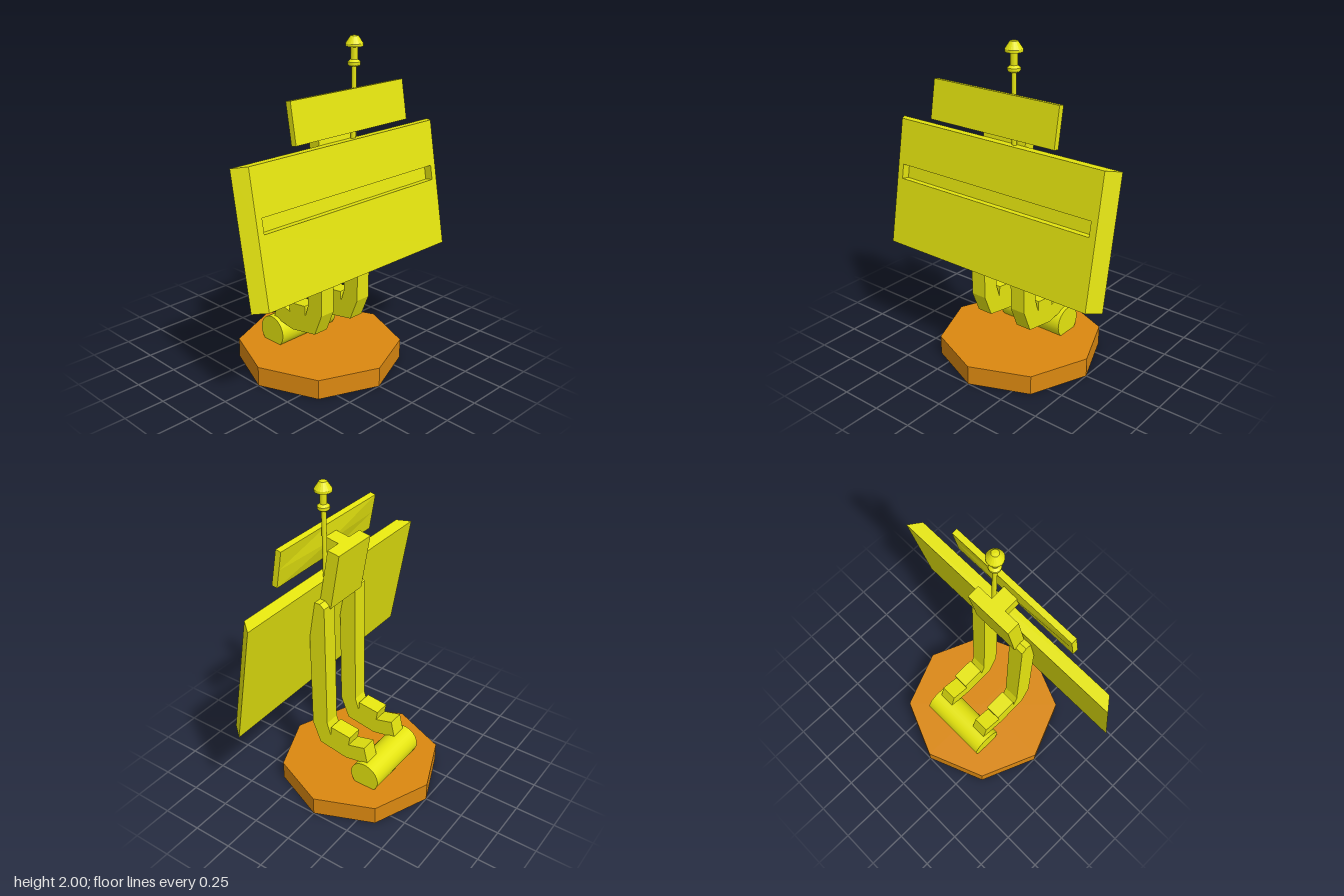
import * as THREE from 'three';

const yellow = new THREE.MeshStandardMaterial({ color: 0xe6e60f, flatShading: true });
const smoothYellow = new THREE.MeshStandardMaterial({ color: 0xe6e60f });
const orange = new THREE.MeshStandardMaterial({ color: 0xdb8810, flatShading: true });
const TILT = -0.178; // backward lean shared by the panels and head

function extrude(points, depth) {
  const shape = new THREE.Shape(points.map(([x, y]) => new THREE.Vector2(x, y)));
  return new THREE.ExtrudeGeometry(shape, { depth, bevelEnabled: false });
}

export function createModel() {
  const model = new THREE.Group();
  model.name = 'signStand';

  function add(name, geometry, material, x = 0, y = 0, z = 0, tilt = 0, parent = model) {
    const mesh = new THREE.Mesh(geometry, material);
    mesh.name = name;
    mesh.position.set(x, y, z);
    mesh.rotation.x = tilt;
    parent.add(mesh);
    return mesh;
  }

  // Octagonal base and the roller lying on it
  add('base', new THREE.CylinderGeometry(0.5, 0.5, 0.12, 8), orange, 0, 0.06, 0);
  const roller = new THREE.CylinderGeometry(0.098, 0.098, 0.452, 32);
  roller.rotateZ(Math.PI / 2);
  add('roller', roller, smoothYellow, 0, 0.188, -0.185);

  // Two bent legs with stepped feet, drawn as (z, y) side profiles
  const legProfile = [
    [0.175, 1.3], [0.22, 1.05], [0.22, 0.42], [0.165, 0.285], [-0.03, 0.25],
    [-0.19, 0.28], [-0.165, 0.39], [-0.05, 0.36], [-0.06, 0.42], [0.08, 0.438],
    [0.085, 0.375], [0.11, 0.455], [0.11, 1.275], [0.14, 1.3],
  ];
  for (const side of [-1, 1]) {
    const leg = extrude(legProfile, 0.1);
    leg.translate(0, 0, -0.05);
    leg.rotateY(-Math.PI / 2);
    add(side > 0 ? 'leftLeg' : 'rightLeg', leg, yellow, side * 0.15);
  }

  // Main panel: bevelled ends, with a slot recessed into the front
  const panel = new THREE.Group();
  panel.name = 'mainPanel';
  panel.position.set(0, 0.672, 0.366);
  panel.rotation.x = TILT;
  model.add(panel);
  const plain = [[-0.72, 0], [0.72, 0], [0.78, 0.076], [-0.78, 0.076]];
  const slotted = [
    [-0.72, 0], [-0.68, 0], [-0.68, 0.05], [0.68, 0.05],
    [0.68, 0], [0.72, 0], [0.78, 0.076], [-0.78, 0.076],
  ];
  const bands = [
    ['panelLower', plain, 0, 0.41],
    ['panelSlotBand', slotted, 0.41, 0.498],
    ['panelUpper', plain, 0.498, 0.772],
  ];
  for (const [name, section, from, to] of bands) {
    const band = extrude(section, to - from);
    band.rotateX(-Math.PI / 2);
    add(name, band, yellow, 0, from, 0, 0, panel);
  }

  // Head plate and the stem reaching forward to the small panel
  add('headPlate', new THREE.BoxGeometry(0.3, 0.36, 0.078), yellow, 0, 1.443, 0.107, TILT);
  add('headStem', new THREE.BoxGeometry(0.1, 0.092, 0.13), yellow, 0, 1.588, 0.157, TILT);

  // Small panel with a shallow point at the middle of its back
  const small = new THREE.BoxGeometry(0.874, 0.234, 0.036, 2, 2, 1);
  const pos = small.attributes.position;
  for (let i = 0; i < pos.count; i++) {
    const centred = Math.abs(pos.getX(i)) < 0.01 && Math.abs(pos.getY(i)) < 0.01;
    if (centred && pos.getZ(i) < 0) pos.setZ(i, -0.034);
  }
  small.computeVertexNormals();
  add('smallPanel', small, yellow, 0, 1.604, 0.237, TILT);

  // Mast and turned finial
  add('mast', new THREE.CylinderGeometry(0.014, 0.014, 0.46, 16), smoothYellow, 0.094, 1.61, 0.176);
  const finial = [
    [0, 1.832], [0.03, 1.832], [0.036, 1.84], [0.036, 1.855], [0.02, 1.868],
    [0.02, 1.935], [0.05, 1.94], [0.05, 1.955], [0.022, 1.997], [0, 2],
  ].map(([r, y]) => new THREE.Vector2(r, y));
  add('finial', new THREE.LatheGeometry(finial, 20), yellow, 0.094, 0, 0.176);

  return model;
}
